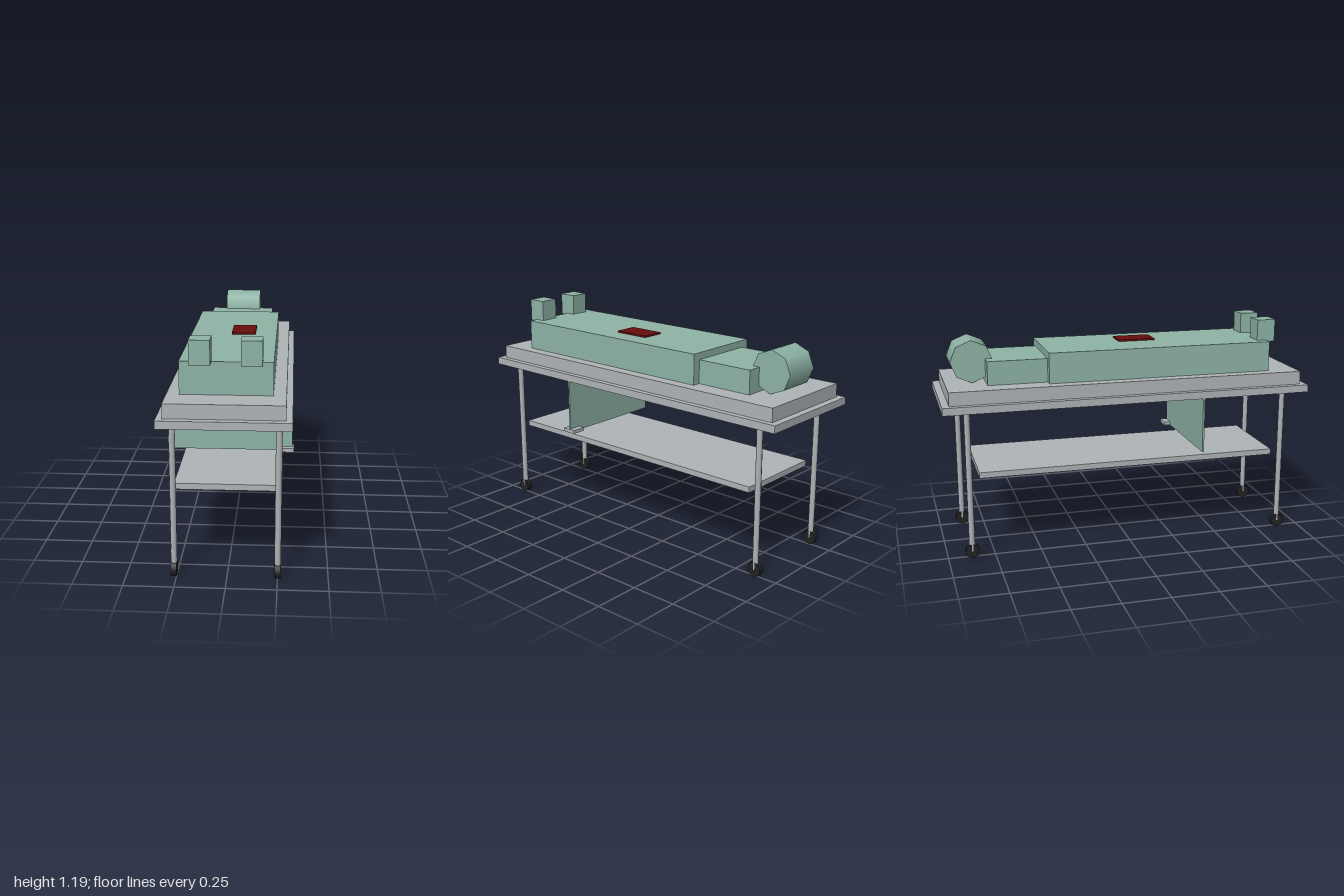
import * as THREE from 'three';

const mat = (name, color) => {
  const m = new THREE.MeshStandardMaterial({ color });
  m.name = name;
  return m;
};

export function createModel() {
  const metal = mat('pale metal', 0xb0b5b8);
  const cloth = mat('green cloth', 0x8fb5a7);
  const red = mat('dark red', 0x6a0c0c);
  const rubber = mat('black rubber', 0x222222);

  const model = new THREE.Group();
  model.name = 'trolley';
  const cx = -0.006; // centre line of the table

  const add = (name, geometry, material, x, y, z) => {
    const mesh = new THREE.Mesh(geometry, material);
    mesh.name = name;
    mesh.position.set(x, y, z);
    model.add(mesh);
    return mesh;
  };
  // Box given by its limits on each axis
  const box = (name, material, [x0, x1], [y0, y1], [z0, z1]) =>
    add(name, new THREE.BoxGeometry(x1 - x0, y1 - y0, z1 - z0), material,
      (x0 + x1) / 2, (y0 + y1) / 2, (z0 + z1) / 2);
  // Eight-sided cylinder lying along x
  const roller = (name, material, r, width, x, y, z) =>
    add(name, new THREE.CylinderGeometry(r, r, width, 8).rotateZ(Math.PI / 2), material, x, y, z);

  // Table
  box('tableTop', metal, [cx - 0.319, cx + 0.319], [0.802, 0.842], [-1, 1]);
  box('mattress', metal, [cx - 0.288, cx + 0.288], [0.842, 0.914], [-0.963, 0.963]);
  box('lowerShelf', metal, [cx - 0.256, cx + 0.256], [0.437, 0.468], [-0.82, 0.82]);

  // Legs and wheels
  for (const sx of [-1, 1]) {
    for (const sz of [-1, 1]) {
      const x = cx + sx * 0.256, z = sz * 0.873;
      add('leg', new THREE.CylinderGeometry(0.016, 0.016, 0.764, 8), metal, x, 0.42, z);
      roller('wheel', rubber, 0.039, 0.029, x, 0.039, z);
    }
  }

  // Covered figure
  box('body', cloth, [cx - 0.226, cx + 0.226], [0.914, 1.077], [-0.433, 0.8]);
  box('shoulders', cloth, [cx - 0.182, cx + 0.182], [0.914, 1.04], [-0.75, -0.433]);
  roller('head', cloth, 0.113, 0.206, cx, 1.027, -0.82);
  for (const s of [-1, 1]) {
    const x = cx + s * 0.123;
    box('foot', cloth, [x - 0.051, x + 0.051], [1.068, 1.19], [0.748, 0.85]);
  }
  box('redPatch', red, [-0.018, 0.108], [1.077, 1.0865], [0, 0.203]);

  // Hanging sheet with its tag
  box('hangingSheet', cloth, [cx - 0.319, cx + 0.319], [0.503, 0.802], [0.388, 0.398]);
  box('tag', metal, [0.242, 0.322], [0.503, 0.523], [0.353, 0.433]);

  return model;
}
